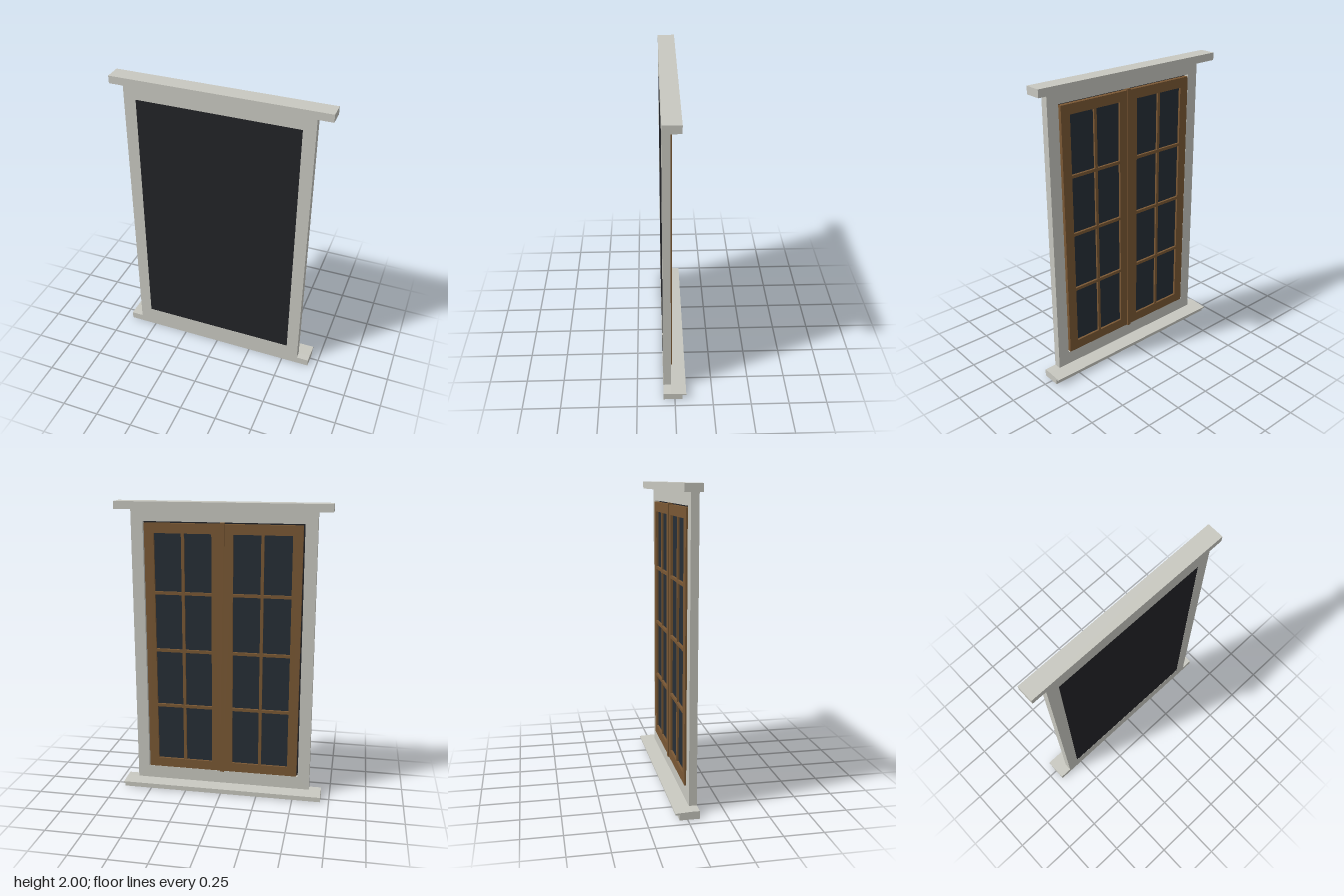
import * as THREE from 'three';

const stone = new THREE.MeshStandardMaterial({ color: 0xc8c8c0 });
const wood = new THREE.MeshStandardMaterial({ color: 0x7a5834 });
const glass = new THREE.MeshStandardMaterial({ color: 0x262e36 });
const dark = new THREE.MeshStandardMaterial({ color: 0x222327 });

// Box given by its minimum and maximum corners
function box(parent, name, mat, [x0, y0, z0], [x1, y1, z1]) {
  const mesh = new THREE.Mesh(new THREE.BoxGeometry(x1 - x0, y1 - y0, z1 - z0), mat);
  mesh.position.set((x0 + x1) / 2, (y0 + y1) / 2, (z0 + z1) / 2);
  mesh.name = name;
  parent.add(mesh);
}

function rect(Type, x0, y0, x1, y1) {
  return new Type([[x0, y0], [x1, y0], [x1, y1], [x0, y1]].map(p => new THREE.Vector2(...p)));
}

// Rectangular surround with an opening, running from z0 to z1
function ring(parent, name, mat, outer, inner, z0, z1) {
  const shape = rect(THREE.Shape, ...outer);
  shape.holes.push(rect(THREE.Path, ...inner));
  const mesh = new THREE.Mesh(new THREE.ExtrudeGeometry(shape, { depth: z1 - z0, bevelEnabled: false }), mat);
  mesh.position.z = z0;
  mesh.name = name;
  parent.add(mesh);
}

// One casement: stiles and rails, glass, and a grid of two by four panes
function casement(name, x0, x1) {
  const g = new THREE.Group();
  g.name = name;
  const y0 = 0.145, y1 = 1.86, border = 0.065;
  const gx0 = x0 + border, gx1 = x1 - border, gy0 = y0 + border, gy1 = y1 - border;
  ring(g, 'stilesAndRails', wood, [x0, y0, x1, y1], [gx0, gy0, gx1, gy1], 0.016, 0.045);
  box(g, 'glass', glass, [gx0, gy0, 0.031], [gx1, gy1, 0.036]);
  const mid = (gx0 + gx1) / 2, t = 0.01;
  box(g, 'verticalGlazingBar', wood, [mid - t, gy0, 0.018], [mid + t, gy1, 0.031]);
  for (let i = 1; i < 4; i++) {
    const y = gy0 + (gy1 - gy0) * i / 4;
    box(g, 'horizontalGlazingBar', wood, [gx0, y - t, 0.016], [gx1, y + t, 0.031]);
  }
  return g;
}

export function createModel() {
  const model = new THREE.Group();
  model.name = 'window';

  // Surround and lintel
  ring(model, 'surround', stone, [-0.61, 0.05, 0.61, 1.95], [-0.53, 0.14, 0.53, 1.87], 0.025, 0.075);
  box(model, 'lintel', stone, [-0.705, 1.95, -0.035], [0.705, 2, 0.075]);

  // Sill: gently sloping top with a thin projecting lip, extruded along x
  const profile = [[0.075, 0], [0.075, 0.05], [0.025, 0.05], [-0.075, 0.045], [-0.075, 0.035], [-0.05, 0.035], [-0.05, 0]];
  const sillShape = new THREE.Shape(profile.map(([z, y]) => new THREE.Vector2(-z, y)));
  const sillGeo = new THREE.ExtrudeGeometry(sillShape, { depth: 1.384, bevelEnabled: false });
  sillGeo.translate(0, 0, -0.692).rotateY(Math.PI / 2);
  const sill = new THREE.Mesh(sillGeo, stone);
  sill.name = 'sill';
  model.add(sill);

  // Dark panel closing the front of the opening
  box(model, 'frontPanel', dark, [-0.53, 0.14, 0.055], [0.53, 1.87, 0.074]);

  // Pair of casements with a cover strip over the joint
  model.add(casement('leftCasement', 0.006, 0.52), casement('rightCasement', -0.52, -0.006));
  box(model, 'coverStrip', wood, [-0.014, 0.14, 0.01], [0.014, 1.87, 0.04]);

  return model;
}
